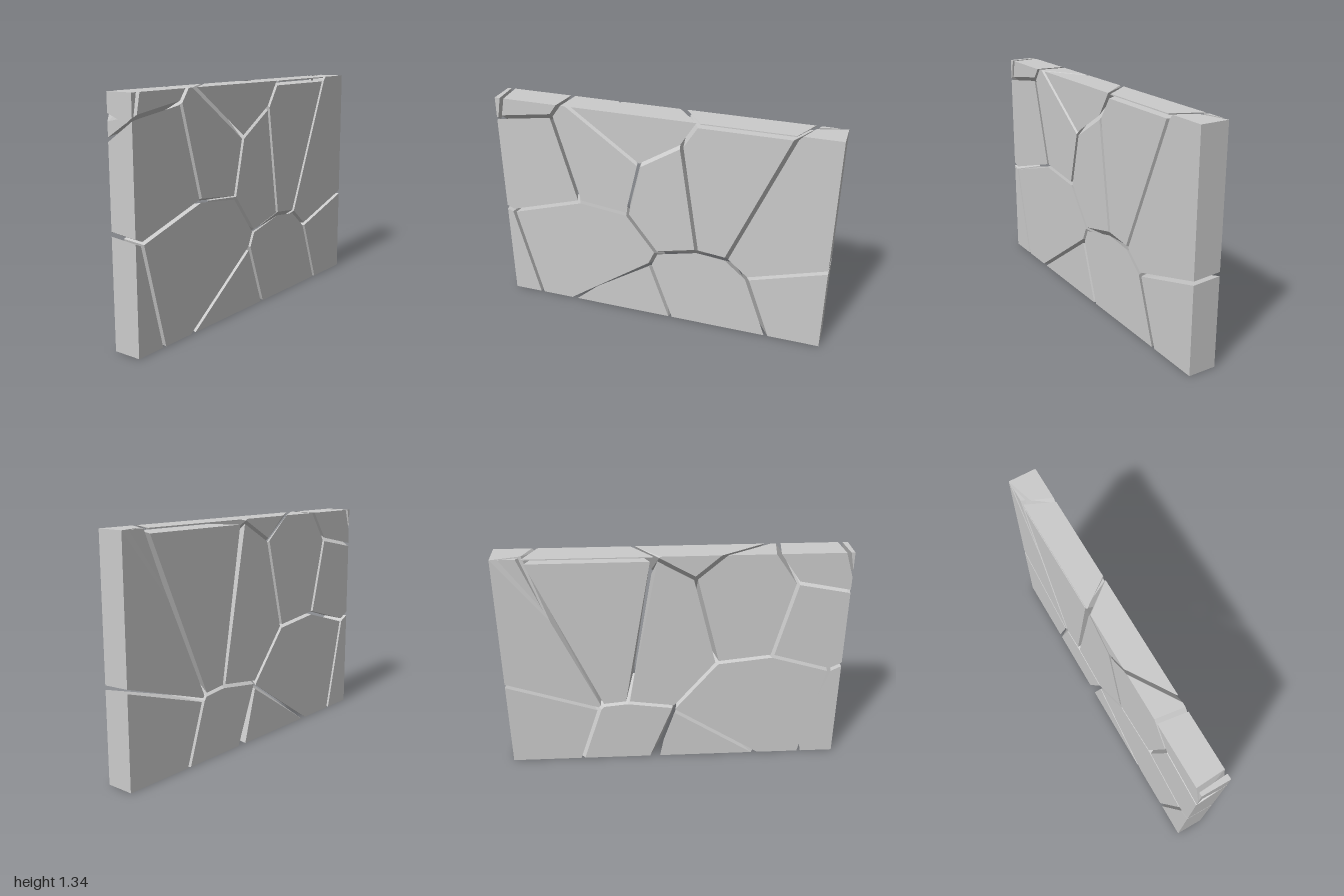
import * as THREE from 'three';
import { ConvexGeometry } from 'three/addons/geometries/ConvexGeometry.js';

const T = 1.335;      // slab height
const X = 0.083;      // half thickness
const GAP = 0.011;    // half width of a crack

// Crack junctions: [z, y] on the +x face, then [z, y] on the -x face
const J = {
  A: [-0.54, 0.39, -0.45, 0.36], B: [-0.41, 0.50, -0.43, 0.385],
  C: [-0.23, 0.52, -0.28, 0.40], D: [0.02, 0.46, 0.005, 0.36],
  E: [0.06, 0.37, -0.005, 0.335], F: [0.20, 0.695, 0.255, 0.66],
  G: [0.50, 0.73, 0.578, 0.695], H: [0.955, 0.59, 0.93, 0.59],
  I: [0.65, 1.265, 0.70, 1.16], K: [0.12, 1.03, 0.12, 1.20],
  L: [-0.13, 1.185, -0.10, 1.325], M: [-0.215, 1.318, -0.12, 1.318],
  N: [-0.755, 1.318, -0.835, 1.318], O: [0.98, 1.215, 0.985, 1.105],
  // cracks reaching the bottom edge
  a: [0.81, 0, 0.79, 0], b: [0.58, 0, 0.507, 0],
  c: [-0.07, 0, -0.10, 0], d: [-0.68, 0, -0.57, 0],
  // cracks reaching the top edge
  e: [0.60, T, 0.578, T], f: [0.54, T, 0.28, T],
  g: [-0.225, T, -0.09, T], h: [-0.77, T, -0.84, T],
  i: [0.955, T, 0.965, T],
  // cracks reaching the two ends, and the slab corners
  j: [1, 0.61, 1, 0.625], k: [1, 1.21, 1, 1.10], l: [-1, 0.53, -1, 0.54],
  p: [1, 0, 1, 0], q: [-1, 0, -1, 0], r: [-1, T, -1, T],
  // notch on the -x face beside the top wedge
  s: [0, 0, -0.69, 0.96], t: [0, 0, -0.985, T], u: [0, 0, 1, 1.225],
};

// Stones: outline on the +x face, outline on the -x face if different
const stones = [
  ['lowerLeftStone', 'Hjpa'],
  ['lowerWideStone', 'HGFDEba'],
  ['lowerTriangleStone', 'Ebc'],
  ['lowerMiddleStone', 'EDCBAdc'],
  ['lowerRightStone', 'Alqd'],
  ['endLeftStone', 'IGHjkO'],
  ['upperLeftStone', 'IGFKfe'],
  ['middleStone', 'CDFKL'],
  ['topMiddleStone', 'KLgf'],
  ['tallStone', 'BCLMN', 'BCMN'],
  ['topSliver', 'MghN'],
  ['topCornerStone', 'eIOi', 'eIkui'],
  ['endRightStone', 'lABNhr', 'lABstr'],
];

const onBorder = (p, q) =>
  (p[0] === q[0] && Math.abs(p[0]) === 1) || (p[1] === q[1] && (p[1] === 0 || p[1] === T));

// Shrinks a convex outline by half a crack along every edge inside the slab
function inset(poly) {
  const n = poly.length;
  const cz = poly.reduce((s, p) => s + p[0], 0) / n;
  const cy = poly.reduce((s, p) => s + p[1], 0) / n;
  let out = poly;
  poly.forEach((p, i) => {
    const q = poly[(i + 1) % n];
    if (onBorder(p, q)) return;
    const len = Math.hypot(q[0] - p[0], q[1] - p[1]);
    let nz = -(q[1] - p[1]) / len, ny = (q[0] - p[0]) / len;
    if ((cz - p[0]) * nz + (cy - p[1]) * ny < 0) { nz = -nz; ny = -ny; }
    const dist = (v) => (v[0] - p[0]) * nz + (v[1] - p[1]) * ny - GAP;
    const next = [];
    out.forEach((v, k) => {
      const w = out[(k + 1) % out.length], dv = dist(v), dw = dist(w);
      if (dv >= 0) next.push(v);
      if (dv * dw < 0) {
        const f = dv / (dv - dw);
        next.push([v[0] + (w[0] - v[0]) * f, v[1] + (w[1] - v[1]) * f]);
      }
    });
    out = next;
  });
  return out;
}

const facePoints = (ids, side) =>
  inset([...ids].map((id) => J[id].slice(side * 2, side * 2 + 2)))
    .map(([z, y]) => new THREE.Vector3(side ? -X : X, y, z));

export function createModel() {
  const group = new THREE.Group();
  group.name = 'crackedSlab';
  const material = new THREE.MeshStandardMaterial({ color: 0xcccccc, flatShading: true });

  const addHull = (name, points) => {
    const mesh = new THREE.Mesh(new ConvexGeometry(points), material);
    mesh.name = name;
    group.add(mesh);
  };
  const v = (x, y, z) => new THREE.Vector3(x, y, z);

  for (const [name, front, back = front] of stones) {
    const points = [...facePoints(front, 0), ...facePoints(back, 1)];
    // the end stone keeps its full depth at the top beside the wedge
    if (name === 'endRightStone') points.push(v(-0.035, T, -0.835));
    addHull(name, points);
  }

  // Small wedge split off the -x face near the top
  addHull('topWedge', [
    v(-X, T, -0.955), v(-X, T, -0.86), v(-0.058, T, -0.848), v(-X, 1.03, -0.735),
  ]);

  // Thin chip at the +z end of the top
  addHull('endChip', [
    v(X, T, 0.968), v(X, T, 1), v(X, 1.215, 1), v(X, 1.215, 0.99),
    v(0.04, 1.185, 1), v(-X, T, 0.978), v(-X, T, 1), v(-X, 1.23, 1),
  ]);

  return group;
}
